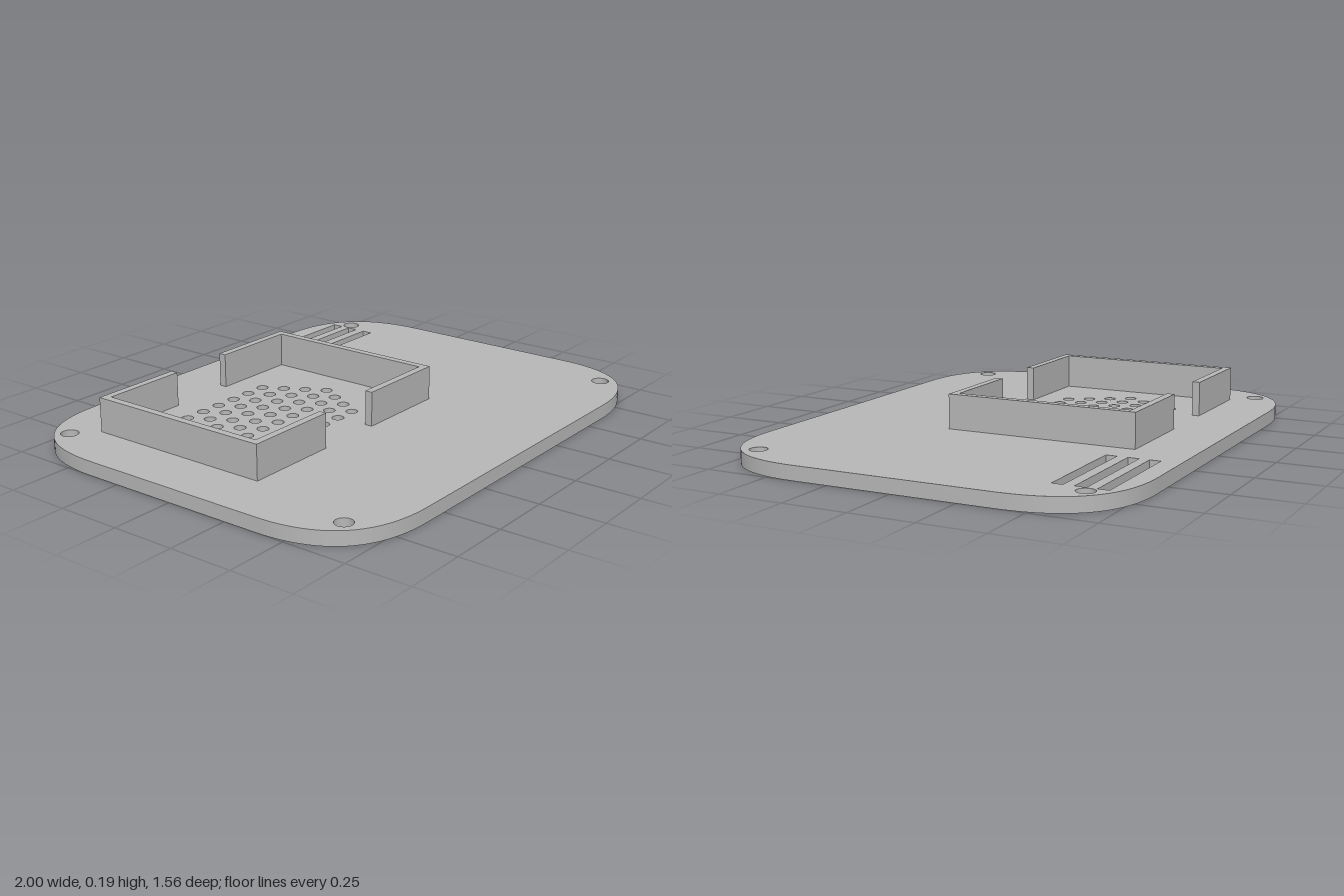
import * as THREE from 'three';
import { toCreasedNormals } from 'three/addons/utils/BufferGeometryUtils.js';

const PLATE_H = 0.055, WALL_TOP = 0.19;

// Shapes are drawn in plan (x, -z) and extruded upwards from height y
function extrudeUp(shape, y, height) {
  const geo = new THREE.ExtrudeGeometry(shape, { depth: height, bevelEnabled: false, curveSegments: 24 });
  geo.rotateX(-Math.PI / 2).translate(0, y, 0);
  return toCreasedNormals(geo, 0.6);
}

function polygon(points, Type = THREE.Shape) {
  return new Type(points.map(([x, z]) => new THREE.Vector2(x, -z)));
}

function roundHole(x, z, r) {
  return new THREE.Path().absarc(x, -z, r, 0, Math.PI * 2, true);
}

// Plate outline with soft corners
function plateOutline(w, d, r) {
  const s = new THREE.Shape();
  s.moveTo(-w + r, -d);
  s.lineTo(w - r, -d);
  s.quadraticCurveTo(w, -d, w, -d + r);
  s.lineTo(w, d - r);
  s.quadraticCurveTo(w, d, w - r, d);
  s.lineTo(-w + r, d);
  s.quadraticCurveTo(-w, d, -w, d - r);
  s.lineTo(-w, -d + r);
  s.quadraticCurveTo(-w, -d, -w + r, -d);
  return s;
}

export function createModel() {
  const group = new THREE.Group();
  const grey = new THREE.MeshStandardMaterial({ color: 0xb8b8b8 });
  grey.name = 'grey';

  const add = (name, geo) => {
    const mesh = new THREE.Mesh(geo, grey);
    mesh.name = name;
    group.add(mesh);
  };

  const plate = plateOutline(1, 0.782, 0.4);

  // Screw holes near the corners
  for (const x of [-0.858, 0.858])
    for (const z of [-0.642, 0.637]) plate.holes.push(roundHole(x, z, 0.034));

  // Hexagonal vent grille
  const cx = -0.259, cz = -0.18, pitch = 0.0871;
  for (let row = -3; row <= 3; row++) {
    const count = 9 - Math.abs(row);
    for (let i = 0; i < count; i++) {
      const x = cx + (i - (count - 1) / 2) * pitch;
      plate.holes.push(roundHole(x, cz + row * pitch * Math.sqrt(0.75), 0.023));
    }
  }

  // Three cable slots
  for (const z of [-0.686, -0.605, -0.522]) {
    const a = z - 0.021, b = z + 0.021;
    plate.holes.push(polygon([[0.38, a], [0.818, a], [0.818, b], [0.38, b]], THREE.Path));
  }
  add('plate', extrudeUp(plate, 0, PLATE_H));

  // Two facing C-shaped walls around the grille
  const t = 0.03, back = -0.56, front = 0.202;
  const bracket = (outer, end, dir) => polygon([
    [outer, back], [end, back], [end, back + t], [outer + dir * t, back + t],
    [outer + dir * t, front - t], [end, front - t], [end, front], [outer, front],
  ]);
  add('rightBracketWall', extrudeUp(bracket(-0.776, -0.398, 1), PLATE_H, WALL_TOP - PLATE_H));
  add('leftBracketWall', extrudeUp(bracket(0.257, -0.123, -1), PLATE_H, WALL_TOP - PLATE_H));

  return group;
}
